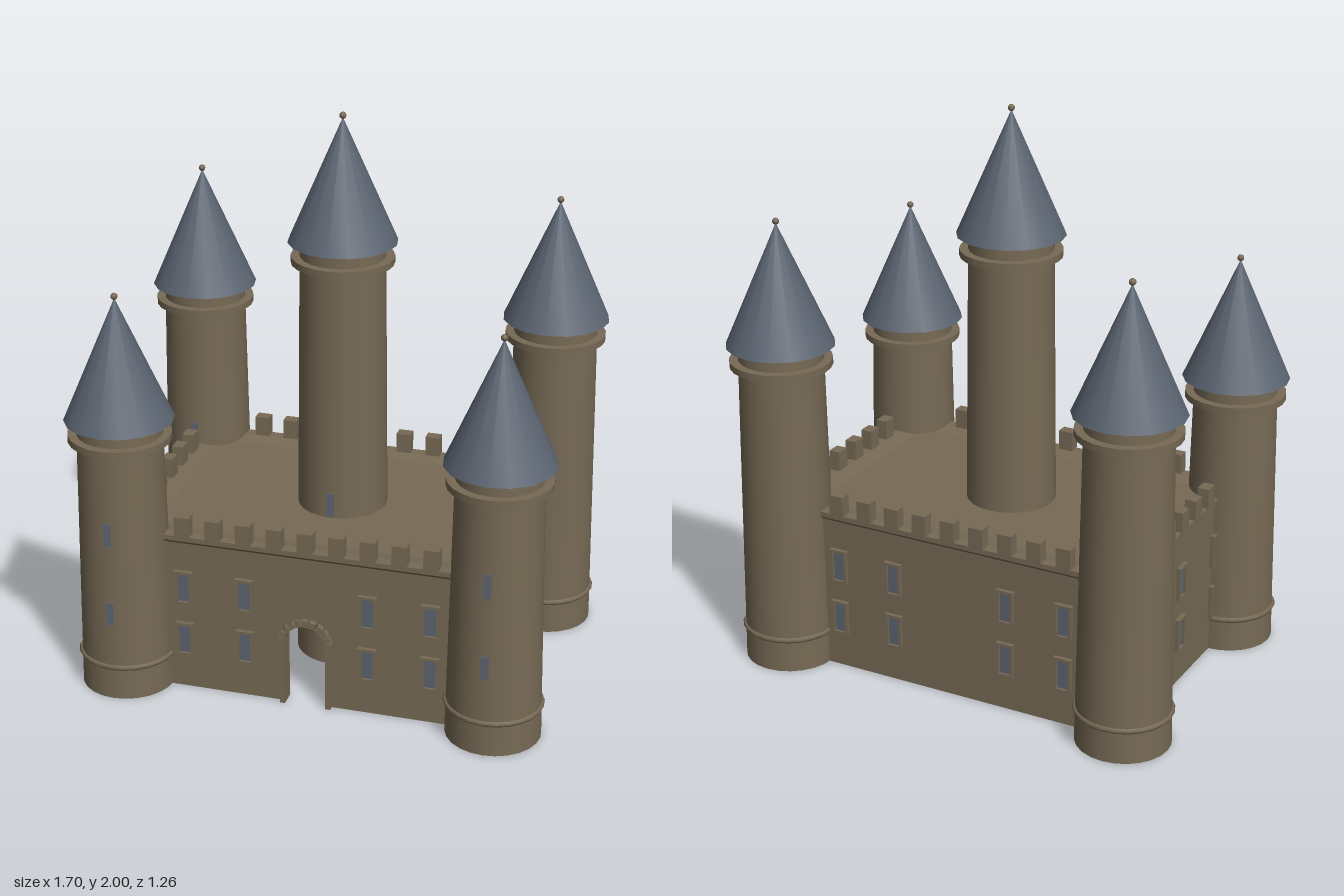
import * as THREE from 'three';

const stone = new THREE.MeshStandardMaterial({ color: 0x776a55 });
stone.name = 'stone';
const slate = new THREE.MeshStandardMaterial({ color: 0x5c6572 });
slate.name = 'slate';

function add(parent, name, geometry, material, x = 0, y = 0, z = 0) {
  const mesh = new THREE.Mesh(geometry, material);
  mesh.name = name;
  mesh.position.set(x, y, z);
  parent.add(mesh);
  return mesh;
}
const box = (w, h, d) => new THREE.BoxGeometry(w, h, d);

// Round tower: tapered shaft, two ring mouldings, pointed roof and slit windows
function tower(name, x, z, height) {
  const g = new THREE.Group();
  g.name = name;
  g.position.set(x, 0, z);
  const r0 = 0.165, r1 = 0.147;
  add(g, 'shaft', new THREE.CylinderGeometry(r1, r0, height, 24), stone, 0, height / 2);
  add(g, 'footRing', new THREE.TorusGeometry(0.163, 0.01, 6, 24).rotateX(Math.PI / 2), stone, 0, 0.122);
  add(g, 'upperRing', new THREE.CylinderGeometry(0.178, 0.178, 0.024, 24), stone, 0, height - 0.062);
  add(g, 'roof', new THREE.ConeGeometry(0.189, 0.432, 16), slate, 0, height + 0.216);
  add(g, 'finial', new THREE.SphereGeometry(0.012, 10, 8), stone, 0, height + 0.438);
  for (const y of [0.33, 0.63]) {
    const r = r0 + (r1 - r0) * y / height;
    const slit = add(g, 'slitWindow', box(0.026, 0.085, 0.008), slate, 0, y, r);
    slit.rotation.x = -Math.atan((r0 - r1) / height);
  }
  return g;
}

// Rectangular window: thin pane inside four frame bars
function windowAt(x, y) {
  const g = new THREE.Group();
  g.name = 'window';
  g.position.set(x, y, 0);
  add(g, 'pane', box(0.046, 0.105, 0.006), slate, 0, 0, 0.002);
  for (const s of [-1, 1]) {
    add(g, 'frameSide', box(0.01, 0.12, 0.022), stone, s * 0.026, 0, 0.003);
  }
  add(g, 'lintel', box(0.066, 0.01, 0.026), stone, 0, 0.06, 0.003);
  add(g, 'sill', box(0.05, 0.008, 0.022), stone, 0, -0.056, 0.003);
  return g;
}

// Arched gateway surround: jambs and a ring of small stones
function gateway() {
  const g = new THREE.Group();
  g.name = 'gateway';
  for (const s of [-1, 1]) {
    add(g, 'jamb', box(0.018, 0.25, 0.06), stone, s * 0.082, 0.125, -0.01);
  }
  const count = 11;
  for (let i = 0; i < count; i++) {
    const a = Math.PI * i / (count - 1);
    const block = add(g, 'archStone', box(0.024, 0.021, 0.05), stone,
      Math.cos(a) * 0.082, 0.245 + Math.sin(a) * 0.076, -0.005);
    block.rotation.z = a;
  }
  return g;
}

// One side of the curtain wall; its outer face lies on local z = 0
function wallSide(name, length, windowXs, merlonCount, hasGate) {
  const g = new THREE.Group();
  g.name = name;
  const h = length / 2, thick = 0.03;

  const face = new THREE.Shape();
  face.moveTo(-h, 0);
  if (hasGate) {
    face.lineTo(-0.076, 0);
    face.lineTo(-0.076, 0.245);
    face.absarc(0, 0.245, 0.076, Math.PI, 0, true);
    face.lineTo(0.076, 0);
  }
  face.lineTo(h, 0);
  face.lineTo(h, 0.57);
  face.lineTo(-h, 0.57);
  face.closePath();
  const wall = new THREE.ExtrudeGeometry(face, { depth: thick, bevelEnabled: false, curveSegments: 16 });
  add(g, 'wall', wall, stone, 0, 0, -thick);

  // Cornice and the sloping walk behind the battlements
  const profile = new THREE.Shape([
    [-0.085, 0.56], [0, 0.56], [0.012, 0.572], [0.012, 0.59], [-0.025, 0.59], [-0.085, 0.58],
  ].map(([a, b]) => new THREE.Vector2(a, b)));
  const cornice = new THREE.ExtrudeGeometry(profile, { depth: length, bevelEnabled: false });
  cornice.rotateY(-Math.PI / 2).translate(h, 0, 0);
  add(g, 'cornice', cornice, stone);

  for (let i = 0; i < merlonCount; i++) {
    const x = (i - (merlonCount - 1) / 2) * 0.11;
    add(g, 'merlon', box(0.053, 0.075, 0.042), stone, x, 0.625, -0.006);
  }
  for (const x of windowXs) {
    for (const y of [0.19, 0.39]) g.add(windowAt(x, y));
  }
  if (hasGate) g.add(gateway());
  return g;
}

export function createModel() {
  const model = new THREE.Group();
  model.name = 'castle';

  // Corner towers, the rear pair taller, and the central keep
  for (const s of [-1, 1]) {
    const side = s > 0 ? 'Left' : 'Right';
    model.add(tower('front' + side + 'Tower', s * 0.66, 0.44, 1.0));
    model.add(tower('back' + side + 'Tower', s * 0.66, -0.44, 1.18));
  }
  model.add(tower('keep', 0, 0, 1.55));

  // Curtain walls
  const longXs = [-0.44, -0.22, 0.22, 0.44], shortXs = [-0.29, 0, 0.29];
  const sides = [
    ['frontWall', 1.3, longXs, 9, true, 0, 0, 0.45],
    ['backWall', 1.3, longXs, 9, false, Math.PI, 0, -0.45],
    ['leftWall', 0.88, shortXs, 5, false, Math.PI / 2, 0.66, 0],
    ['rightWall', 0.88, shortXs, 5, false, -Math.PI / 2, -0.66, 0],
  ];
  for (const [name, length, xs, merlons, gate, turn, x, z] of sides) {
    const wall = wallSide(name, length, xs, merlons, gate);
    wall.rotation.y = turn;
    wall.position.set(x, 0, z);
    model.add(wall);
  }

  // Flat roof over the hollow courtyard block
  add(model, 'roofDeck', box(1.16, 0.02, 0.74), stone, 0, 0.57, 0);
  return model;
}
